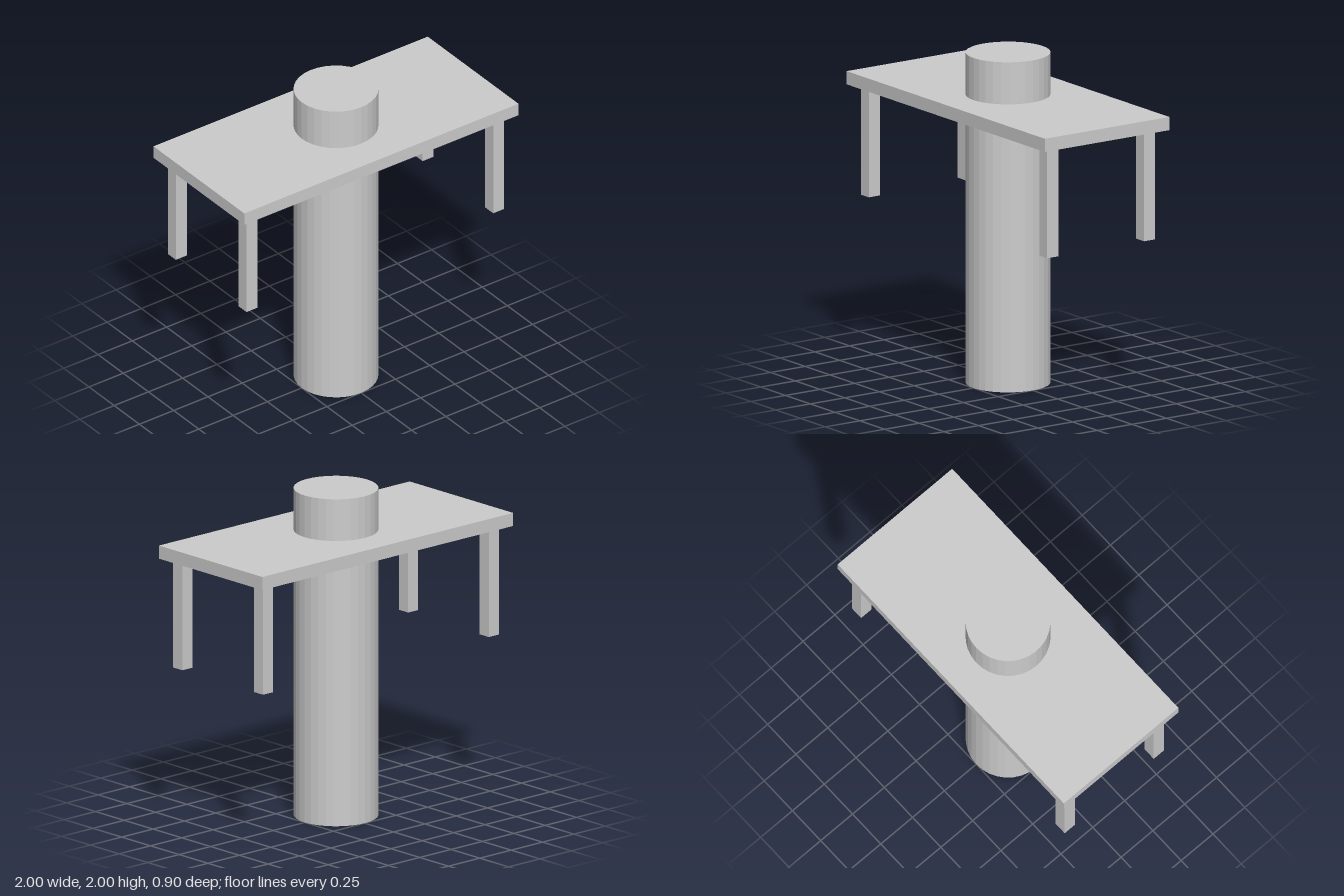
import * as THREE from 'three';

export function createModel() {
  const model = new THREE.Group();
  model.name = 'tableWithColumn';

  const grey = new THREE.MeshStandardMaterial({ color: 0xcccccc });
  grey.name = 'light grey';

  const add = (name, geometry, x, y, z) => {
    const mesh = new THREE.Mesh(geometry, grey);
    mesh.name = name;
    mesh.position.set(x, y, z);
    model.add(mesh);
  };

  // Faceted column: splitting the vertices gives each side its own flat normal
  const column = new THREE.CylinderGeometry(0.25, 0.25, 2, 32).toNonIndexed();
  column.computeVertexNormals();
  add('column', column, 0, 1, 0);

  // Table top around the column
  const topBottom = 1.665, topThickness = 0.08;
  add('tableTop', new THREE.BoxGeometry(2, topThickness, 0.9), 0, topBottom + topThickness / 2, 0);

  // Four square legs hanging from the corners of the top
  const legBottom = 1.0, legHeight = topBottom - legBottom;
  const leg = new THREE.BoxGeometry(0.08, legHeight, 0.08);
  for (const [side, sx] of [['Left', 1], ['Right', -1]]) {
    for (const [end, sz] of [['front', 1], ['back', -1]]) {
      add(`${end}${side}Leg`, leg, sx * 0.9, legBottom + legHeight / 2, sz * 0.35);
    }
  }

  return model;
}
